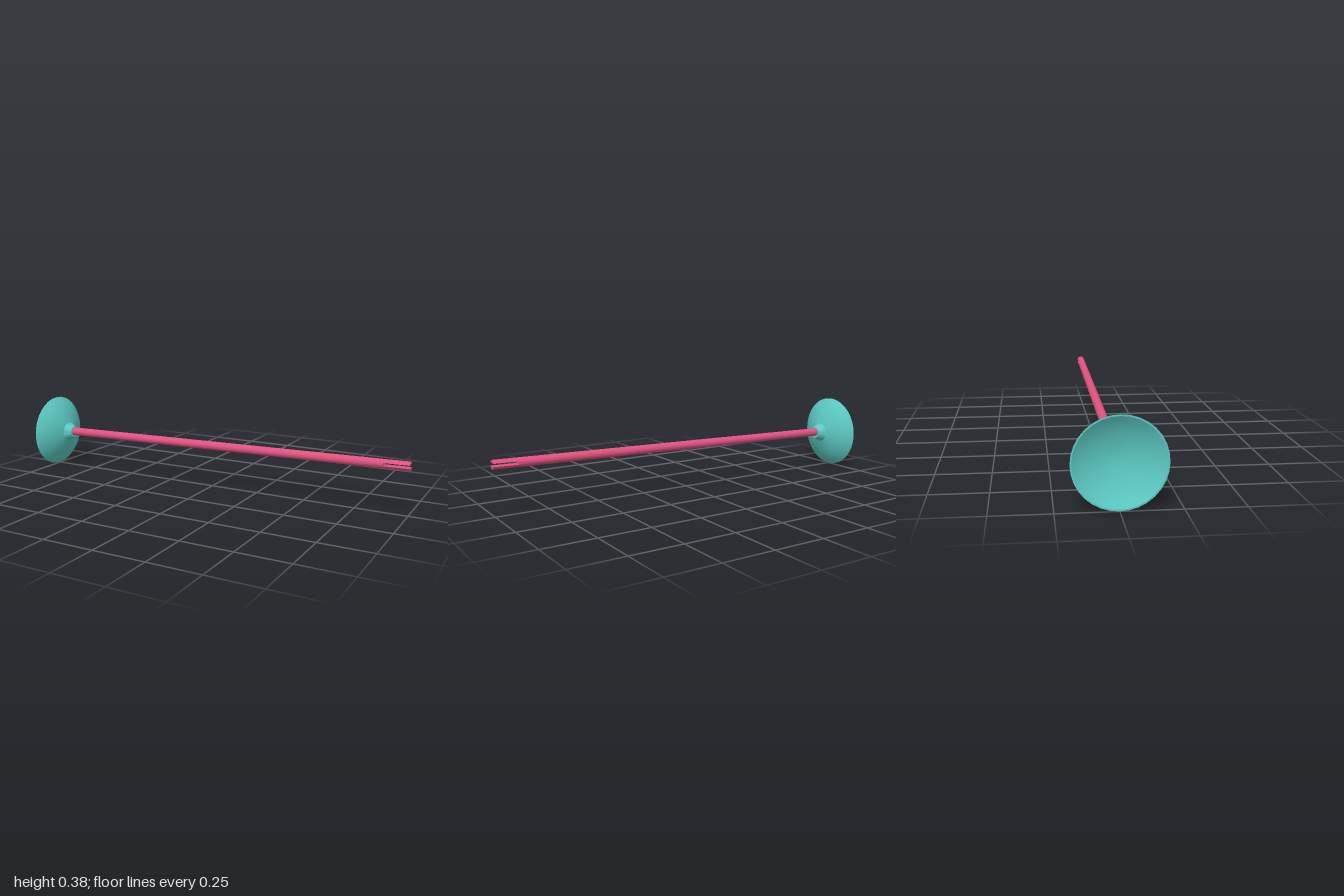
import * as THREE from 'three';
import { toCreasedNormals } from 'three/addons/utils/BufferGeometryUtils.js';

const CUP_Y = 0.19;
const ROD_R = 0.0215;
const SLOT_HALF = 0.0073;

export function createModel() {
  const model = new THREE.Group();
  model.name = 'suctionDart';
  const teal = new THREE.MeshStandardMaterial({ color: 0x5cc9c2 });
  const pink = new THREE.MeshStandardMaterial({ color: 0xe0527f });

  // Suction cup: hollow underside, thin rim, domed back and tapered neck
  const profile = [
    [0, 0.058], [0.04, 0.055], [0.08, 0.047], [0.12, 0.034], [0.155, 0.018], [0.183, 0],
    [0.19, 0], [0.162, 0.027], [0.129, 0.048], [0.09, 0.066], [0.05, 0.079],
    [0.03, 0.116], [0, 0.116],
  ].map(([r, h]) => new THREE.Vector2(r, h));
  const cupGeometry = toCreasedNormals(new THREE.LatheGeometry(profile, 32), 0.5);
  cupGeometry.rotateZ(-Math.PI / 2);
  const cup = new THREE.Mesh(cupGeometry, teal);
  cup.name = 'suctionCup';
  cup.position.set(-1, CUP_Y, 0);
  model.add(cup);

  // Rod, slightly tilted, running from inside the neck to the notched tail
  const start = new THREE.Vector3(-0.91, 0.194, 0);
  const end = new THREE.Vector3(1, 0.2345, 0.008);
  const length = start.distanceTo(end);
  const slotLength = 0.118;
  const rod = new THREE.Group();
  rod.name = 'rod';
  rod.position.copy(start);
  rod.quaternion.setFromUnitVectors(
    new THREE.Vector3(1, 0, 0), end.clone().sub(start).normalize());
  model.add(rod);

  const shaftLength = length - slotLength;
  const shaftGeometry = new THREE.CylinderGeometry(ROD_R, ROD_R, shaftLength, 32);
  shaftGeometry.rotateZ(-Math.PI / 2).translate(shaftLength / 2, 0, 0);
  const shaft = new THREE.Mesh(shaftGeometry, pink);
  shaft.name = 'shaft';
  rod.add(shaft);

  // Two prongs either side of the tail slot
  const a = Math.asin(SLOT_HALF / ROD_R);
  for (const [name, turn] of [['upperProng', 0], ['lowerProng', Math.PI]]) {
    const section = new THREE.Shape();
    section.absarc(0, 0, ROD_R, a + turn, Math.PI - a + turn, false);
    section.closePath();
    const geometry = toCreasedNormals(new THREE.ExtrudeGeometry(section, {
      depth: slotLength, bevelEnabled: false, curveSegments: 14,
    }), 0.5);
    geometry.rotateY(Math.PI / 2).translate(shaftLength, 0, 0);
    const prong = new THREE.Mesh(geometry, pink);
    prong.name = name;
    rod.add(prong);
  }

  return model;
}
